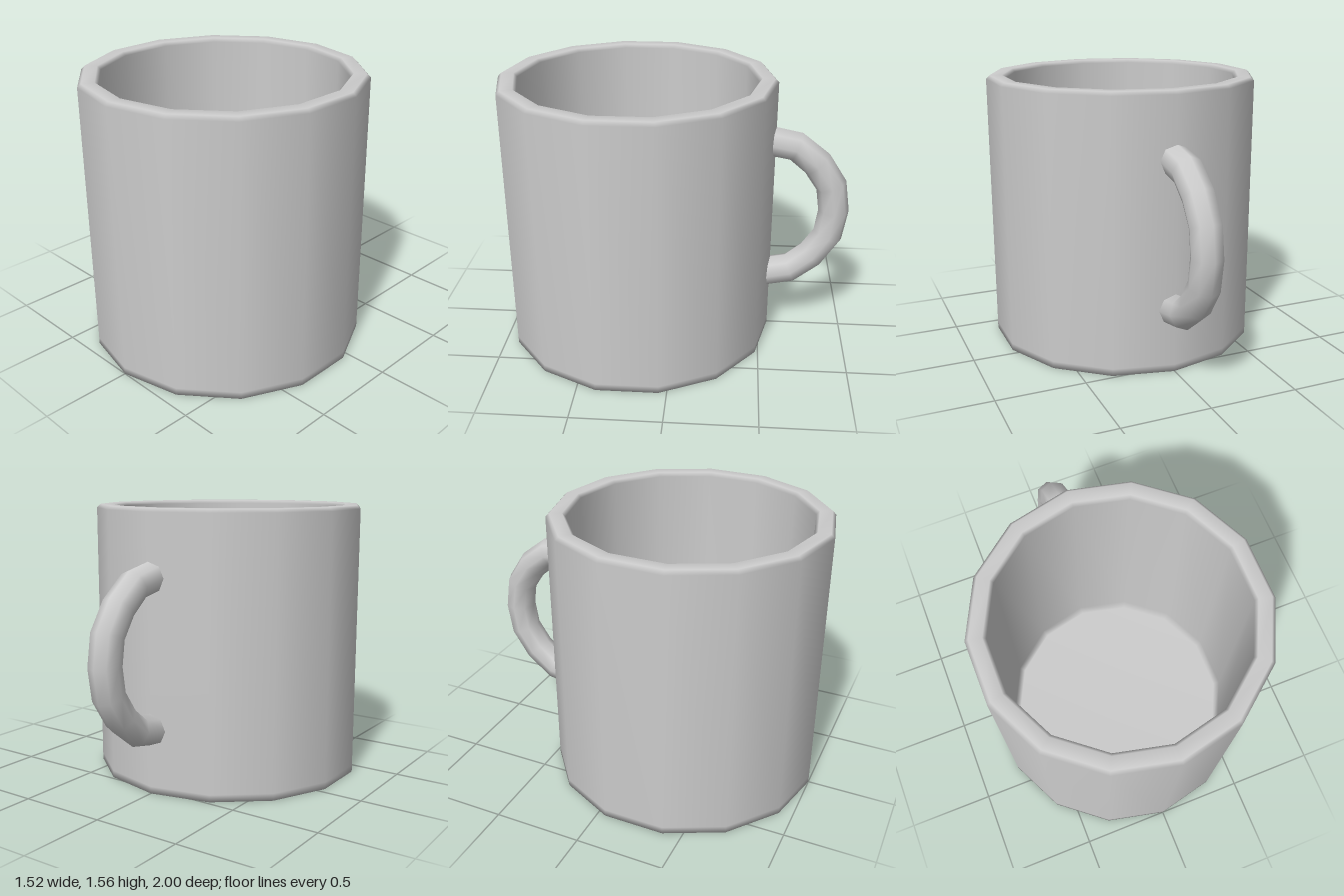
import * as THREE from 'three';

export function createModel() {
  const group = new THREE.Group();
  const material = new THREE.MeshStandardMaterial({ color: 0xcccccc });

  // Cup: one closed profile, outside up, over the chamfered rim, inside down
  const profile = [
    [0, 0], [0.78, 0], [0.78, 0.04], [0.78, 1.54], [0.76, 1.56],
    [0.69, 1.56], [0.672, 1.54], [0.672, 0.13], [0.64, 0.1], [0, 0.1],
  ].map(([r, y]) => new THREE.Vector2(r, y));
  const cup = new THREE.Mesh(new THREE.LatheGeometry(profile, 14), material);
  cup.name = 'cup';
  cup.position.z = 0.22;
  group.add(cup);

  // Handle: octagonal tube, mirrored about mid height, ends sunk in the wall
  const upper = [[1.2, -0.52], [1.163, -0.69], [1.07, -0.8], [0.945, -0.885]];
  const lower = upper.map(([y, z]) => [1.56 - y, z]).reverse();
  const path = new THREE.CatmullRomCurve3(
    [...upper, [0.78, -0.912], ...lower].map(([y, z]) => new THREE.Vector3(0, y, z)));
  const handle = new THREE.Mesh(new THREE.TubeGeometry(path, 8, 0.088, 8), material);
  handle.name = 'handle';
  group.add(handle);

  return group;
}
